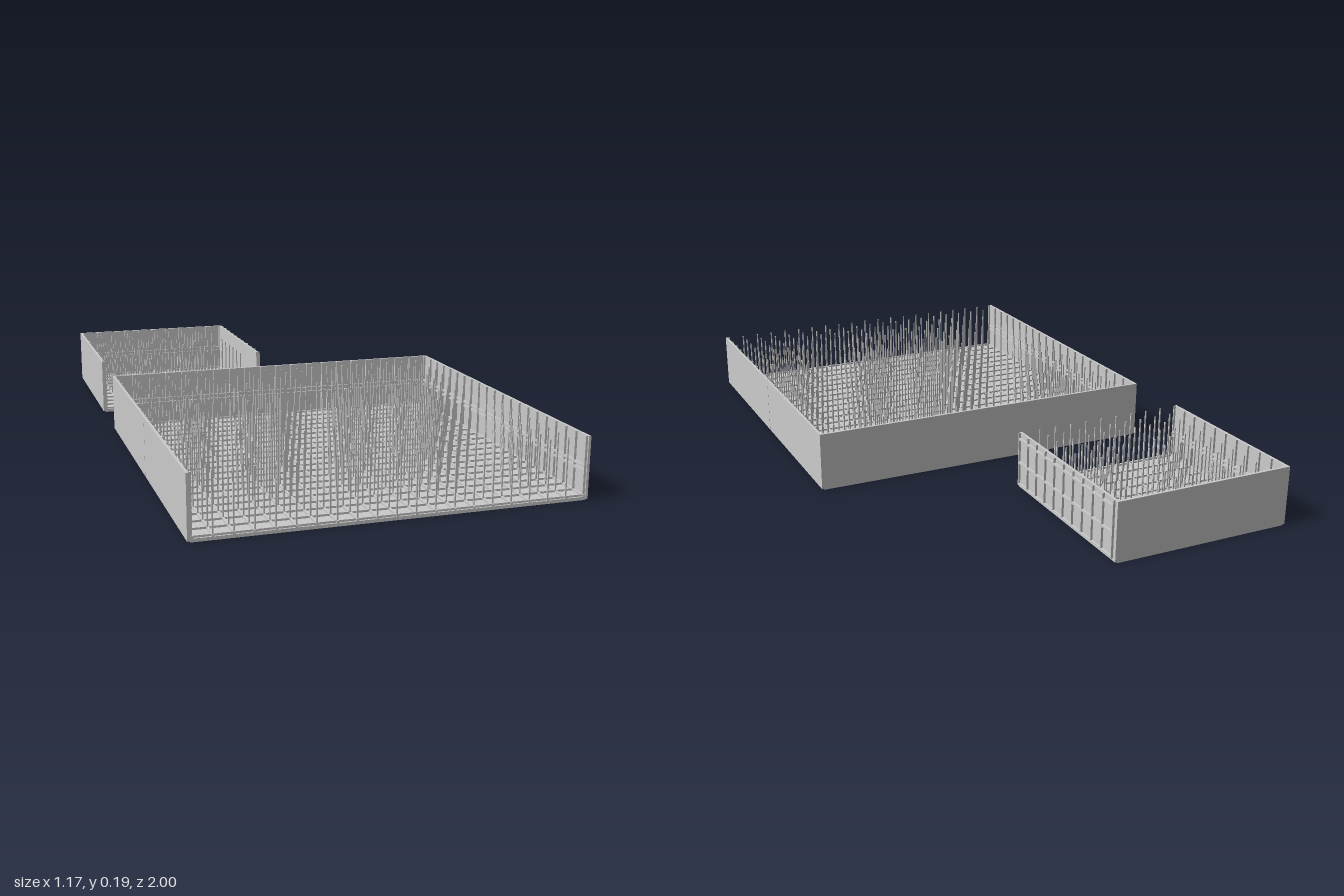
import * as THREE from 'three';
import { mergeGeometries } from 'three/addons/utils/BufferGeometryUtils.js';

const GREY = new THREE.MeshStandardMaterial({ color: 0xcccccc });
const TOP = 0.19, BASE = 0.012, PANEL = 0.008, BAR = 0.007, PIN = 0.004, GAP = 0.002;

// Box given by its lower and upper corners
function span(x0, x1, y0, y1, z0, z1) {
  const g = new THREE.BoxGeometry(x1 - x0, y1 - y0, z1 - z0);
  return g.translate((x0 + x1) / 2, (y0 + y1) / 2, (z0 + z1) / 2);
}

function addPart(group, name, geometries) {
  const mesh = new THREE.Mesh(mergeGeometries(geometries), GREY);
  mesh.name = name;
  group.add(mesh);
}

// Evenly spaced bar positions between two ends
function steps(a, b, n) {
  return Array.from({ length: n + 1 }, (_, i) => a + ((b - a) * i) / n);
}

// Bars on a wall that runs along x (at depth z) or along z (at depth x)
function wallBars(alongX, at, positions, levels) {
  const h = BAR / 2, first = positions[0], last = positions[positions.length - 1];
  const put = (a0, a1, y0, y1) => alongX
    ? span(a0, a1, y0, y1, at - h, at + h)
    : span(at - h, at + h, y0, y1, a0, a1);
  return [
    ...positions.map((p) => put(p - PIN / 2, p + PIN / 2, BASE, TOP)),
    ...levels.map((y) => put(first, last, y - h, y + h)),
  ];
}

// Open-fronted tray: floor, three walls, bar mesh and a field of upright pins
function tray(name, x0, x1, z0, z1, cells, panels, outerRightBars) {
  const group = new THREE.Group();
  group.name = name;
  const xs = steps(x0 + 0.012, x1 - 0.012, cells);
  const zs = steps(z0 + 0.015, z1 - 0.006, cells);
  const zCuts = steps(z0, z1, panels);
  const h = BAR / 2;

  // Floor and side walls are split into panels with a fine seam
  const floor = [], left = [], right = [];
  for (let i = 0; i < panels; i++) {
    const a = zCuts[i], b = zCuts[i + 1] - (i < panels - 1 ? GAP : 0);
    floor.push(span(x0 + 0.008, x1 - 0.008, 0, BASE - 0.002, a, b));
    left.push(span(x1 - PANEL, x1, BASE - 0.009, TOP, a, b));
    right.push(span(x0, x0 + PANEL, BASE - 0.009, TOP, a, b));
  }
  addPart(group, 'floor', floor);
  addPart(group, 'leftWall', left);
  addPart(group, 'rightWall', right);
  addPart(group, 'backWall', [span(x0, x1, BASE - 0.009, TOP, z0, z0 + PANEL)]);

  // Mesh lying on the floor
  addPart(group, 'floorMesh', [
    ...xs.map((x) => span(x - h, x + h, BASE - 0.002, BASE + 0.004, z0 + PANEL, z1)),
    ...zs.map((z) => span(x0 + PANEL, x1 - PANEL, BASE - 0.001, BASE + 0.005, z - h, z + h)),
  ]);

  // Mesh on the walls
  addPart(group, 'backWallMesh', wallBars(true, z0 + PANEL + h, xs, [0.085, 0.1]));
  addPart(group, 'rightWallMesh', wallBars(false, x0 + PANEL + h, zs, [0.085, 0.1]));
  addPart(group, 'leftWallMesh', outerRightBars
    ? wallBars(false, x1 + h, zs, [0.015, 0.09, 0.17])
    : wallBars(false, x1 - PANEL - h, zs, [0.085, 0.1]));

  // Pins standing on the mesh crossings
  const pins = [], p = PIN / 2;
  for (const x of xs.slice(1, -1)) {
    for (const z of zs.slice(1)) pins.push(span(x - p, x + p, BASE, TOP, z - p, z + p));
  }
  addPart(group, 'pins', pins);
  return group;
}

export function createModel() {
  const model = new THREE.Group();
  model.name = 'reinforcedTrays';
  model.add(tray('largeTray', -0.59, 0.585, -0.17, 1, 20, 2, false));
  model.add(tray('smallTray', -0.59, 0.003, -1, -0.415, 10, 1, true));
  return model;
}
